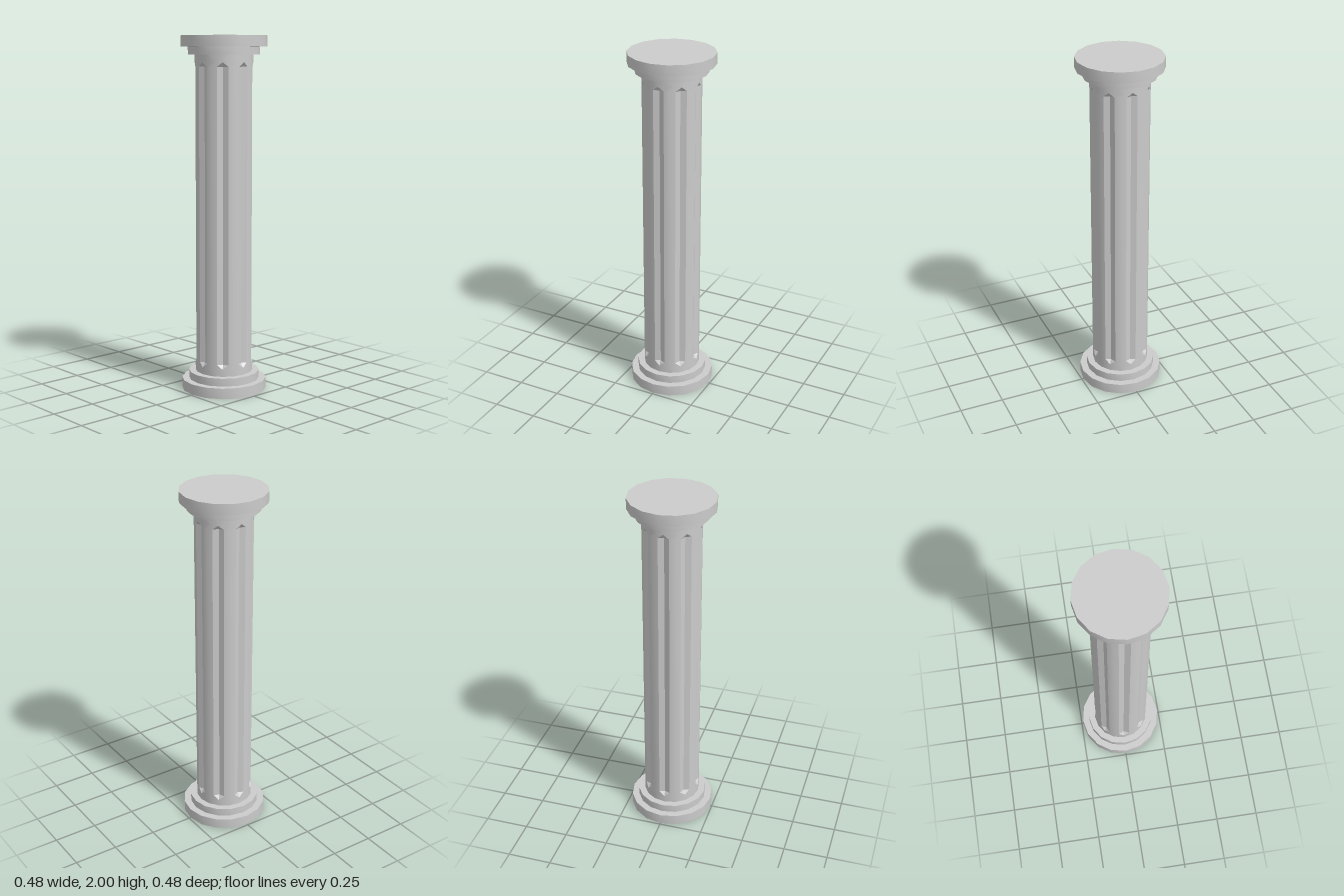
import * as THREE from 'three';
import { toCreasedNormals } from 'three/addons/utils/BufferGeometryUtils.js';

const SIDES = 16;
const R = 0.1625; // shaft radius
const VALLEY = 0.143; // radius at the bottom of a flute
const material = new THREE.MeshStandardMaterial({ color: 0xcccccc, side: THREE.DoubleSide });

function addPart(group, name, geometry) {
  const mesh = new THREE.Mesh(toCreasedNormals(geometry, 0.5), material);
  mesh.name = name;
  group.add(mesh);
}

// Stepped ring turned from a profile of [radius, height] pairs
function turned(profile) {
  return new THREE.LatheGeometry(profile.map(([r, y]) => new THREE.Vector2(r, y)), SIDES);
}

// 16-sided shaft; every second corner is cut by a V-shaped flute with pointed ends
function flutedShaft() {
  const levels = [0.105, 0.145, 0.17, 1.83, 1.855, 1.895];
  const columns = SIDES * 2;
  const middle = R * Math.cos(Math.PI / SIDES); // middle of a flat side
  const positions = [];

  const point = (k, j) => {
    const fluted = j === 2 || j === 3;
    const r = k % 2 ? middle : k % 4 === 0 && fluted ? VALLEY : R;
    const a = (k % columns) * Math.PI * 2 / columns;
    return [r * Math.sin(a), levels[j], r * Math.cos(a)];
  };

  for (let j = 0; j < levels.length - 1; j++) {
    for (let k = 0; k < columns; k++) {
      const a = point(k, j), b = point(k + 1, j);
      const c = point(k + 1, j + 1), d = point(k, j + 1);
      // The diagonal runs from the flute tip to the flute edge
      const rising = (k % 4 === 0) !== (j === 3);
      if (rising) positions.push(...a, ...b, ...c, ...a, ...c, ...d);
      else positions.push(...a, ...b, ...d, ...b, ...c, ...d);
    }
  }
  const geometry = new THREE.BufferGeometry();
  geometry.setAttribute('position', new THREE.Float32BufferAttribute(positions, 3));
  return geometry;
}

export function createModel() {
  const column = new THREE.Group();
  column.name = 'column';

  // Base is hollow and open underneath
  addPart(column, 'base', turned([[0.24, 0], [0.24, 0.06], [0.2, 0.06], [0.2, 0.105], [R, 0.105]]));
  addPart(column, 'shaft', flutedShaft());
  addPart(column, 'capital', turned([[R, 1.895], [0.2, 1.895], [0.2, 1.94], [0.24, 1.94], [0.24, 2], [0, 2]]));
  return column;
}
